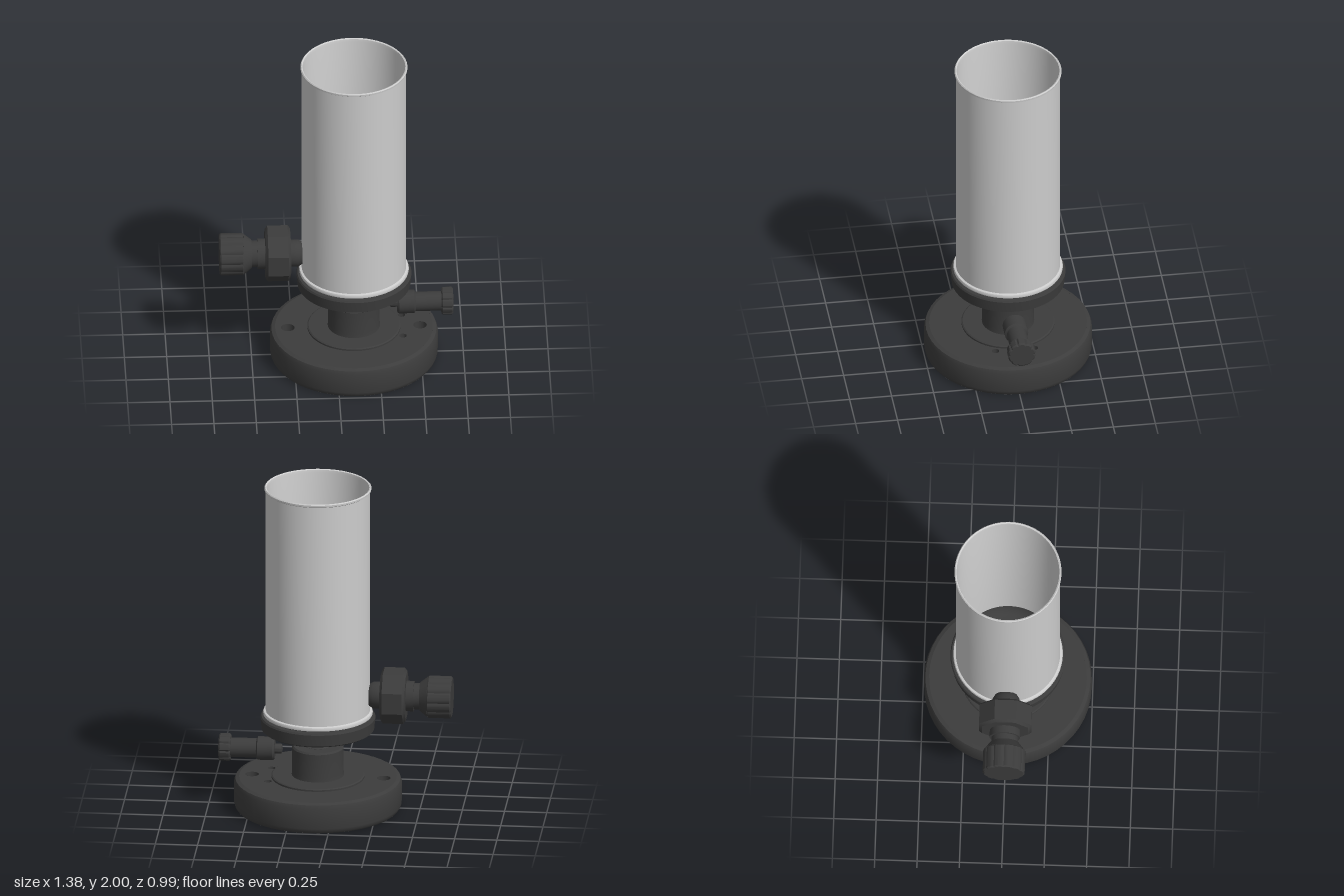
import * as THREE from 'three';
import { toCreasedNormals } from 'three/addons/utils/BufferGeometryUtils.js';

const dark = new THREE.MeshStandardMaterial({ color: 0x3c3c3c, side: THREE.DoubleSide });
dark.name = 'black plastic';
const pale = new THREE.MeshStandardMaterial({ color: 0xcccccc, side: THREE.DoubleSide });
pale.name = 'pale grey metal';

const AXIS = 0.105; // x of the main vertical axis

function add(group, name, geometry, material) {
  const mesh = new THREE.Mesh(geometry, material);
  mesh.name = name;
  group.add(mesh);
  return mesh;
}

// Revolved profile of [radius, height] pairs, with sharp edges kept
function turned(points, segments = 48) {
  const profile = points.map(([r, h]) => new THREE.Vector2(r, h));
  return toCreasedNormals(new THREE.LatheGeometry(profile, segments), 0.6);
}

// The same, lying along the x axis
const turnedX = (points, segments = 32) => turned(points, segments).rotateZ(-Math.PI / 2);

// Grip with shallow flutes, lying along x from x0 to x1
function flutedGrip(radius, x0, x1, flutes, depth) {
  const shape = new THREE.Shape();
  const bevel = 0.008;
  const steps = flutes * 8;
  for (let i = 0; i < steps; i++) {
    const a = (i / steps) * Math.PI * 2;
    const r = radius - bevel - depth * Math.pow(Math.max(0, Math.cos(a * flutes)), 2);
    if (i === 0) shape.moveTo(r * Math.cos(a), r * Math.sin(a));
    else shape.lineTo(r * Math.cos(a), r * Math.sin(a));
  }
  const geo = new THREE.ExtrudeGeometry(shape, {
    depth: x1 - x0 - 2 * bevel, bevelEnabled: true, bevelSize: bevel, bevelThickness: bevel, bevelSegments: 1,
  });
  return toCreasedNormals(geo.rotateY(Math.PI / 2).translate(x0 + bevel, 0, 0), 0.6);
}

// Flat disc with round holes [x, z, radius], facing up or down
function drilledDisc(radius, y, holes, up) {
  const shape = new THREE.Shape().absarc(0, 0, radius, 0, Math.PI * 2);
  for (const [x, z, r] of holes) shape.holes.push(new THREE.Path().absarc(x, up ? -z : z, r, 0, Math.PI * 2, true));
  return new THREE.ShapeGeometry(shape, 32).rotateX(up ? -Math.PI / 2 : Math.PI / 2).translate(0, y, 0);
}

function makeBase() {
  const g = new THREE.Group();
  g.name = 'base';
  const through = [[0.39, 0, 0.04], [-0.39, 0, 0.04]];
  const pits = [[0.285, 0.115, 0.022], [0.285, -0.115, 0.022]];
  add(g, 'baseRim', turned([[0.48, 0], [0.49, 0.012], [0.495, 0.03], [0.495, 0.155], [0.487, 0.176], [0.465, 0.185]]), dark);
  add(g, 'baseTop', drilledDisc(0.465, 0.185, [...through, ...pits], true), dark);
  add(g, 'baseUnderside', drilledDisc(0.48, 0, through, false), dark);
  for (const [x, z, r] of through) {
    add(g, 'screwHole', new THREE.CylinderGeometry(r, r, 0.185, 24, 1, true).translate(x, 0.0925, z), dark);
  }
  for (const [x, z, r] of pits) {
    add(g, 'pit', turned([[0, 0.14], [r, 0.14], [r, 0.185]], 20).translate(x, 0, z), dark);
  }
  // raised plate and central column
  add(g, 'column', turned([[0.275, 0.185], [0.275, 0.195], [0.268, 0.2], [0.155, 0.2], [0.152, 0.22],
    [0.152, 0.37], [0.144, 0.38], [0, 0.38]]), dark);
  return g;
}

function makeStem() {
  const points = [[0.062, 0.37]];
  for (let y = 0.375; y < 0.485; y += 0.02) points.push([0.078, y], [0.078, y + 0.006], [0.064, y + 0.013]);
  return turned(points, 32);
}

function makeValve() {
  const g = new THREE.Group();
  g.name = 'sideValve';
  add(g, 'valveGrip', flutedGrip(0.125, -0.69, -0.545, 12, 0.007), dark);
  add(g, 'valveNeck', turnedX([[0, -0.56], [0.122, -0.548], [0.085, -0.5], [0.078, -0.5], [0.078, -0.465],
    [0.09, -0.465], [0.09, -0.41]]), dark);
  // chamfered eight-sided nut
  const nut = turnedX([[0, -0.42], [0.148, -0.42], [0.167, -0.405], [0.167, -0.285], [0.148, -0.27], [0, -0.27]], 8);
  add(g, 'valveNut', nut.rotateX(Math.PI / 8), dark);
  add(g, 'valveCollar', turnedX([[0.08, -0.275], [0.08, -0.225], [0.065, -0.2], [0, -0.2]]), dark);
  // barbed nozzle inside the tube
  add(g, 'valveNozzle', turnedX([[0.04, -0.205], [0.024, -0.17], [0.024, -0.15], [0.033, -0.15], [0.024, -0.12],
    [0.031, -0.12], [0.022, -0.09], [0.028, -0.09], [0.02, -0.065], [0, -0.065]], 20), dark);
  g.position.y = 0.705;
  return g;
}

function makeClampScrew() {
  const g = new THREE.Group();
  g.name = 'clampScrew';
  add(g, 'clampShaft', turnedX([[0, 0.312], [0.027, 0.318], [0.03, 0.325], [0.03, 0.36], [0.062, 0.36], [0.07, 0.37],
    [0.07, 0.46], [0.058, 0.468], [0.058, 0.62], [0.066, 0.63]], 28), dark);
  add(g, 'clampGrip', flutedGrip(0.082, 0.62, 0.69, 10, 0.008), dark);
  g.position.y = 0.35;
  return g;
}

export function createModel() {
  const model = new THREE.Group();
  model.name = 'tubeStand';

  const stand = new THREE.Group();
  stand.name = 'stand';
  stand.position.x = AXIS;
  model.add(stand);

  stand.add(makeBase());
  add(stand, 'threadedStem', makeStem(), dark);

  // cup holding the tube, with a rounded hollow floor
  add(stand, 'cup', turned([[0, 0.48], [0.318, 0.48], [0.333, 0.49], [0.34, 0.56], [0.334, 0.57], [0.31, 0.573],
    [0.31, 0.585], [0.298, 0.585], [0.288, 0.56], [0.265, 0.537], [0.23, 0.525], [0, 0.525]]), dark);
  add(stand, 'floorButton', turned([[0.055, 0.525], [0.055, 0.53], [0.045, 0.535], [0, 0.537]], 24), pale);

  // open tube with a foot flange and a rolled lip
  add(stand, 'tube', turned([[0.3, 0.58], [0.322, 0.58], [0.324, 0.59], [0.32, 0.6], [0.308, 0.604], [0.308, 1.978],
    [0.315, 1.983], [0.316, 1.994], [0.311, 2.0], [0.303, 1.996], [0.3, 1.98], [0.3, 0.58]], 64), pale);

  model.add(makeValve(), makeClampScrew());
  return model;
}
